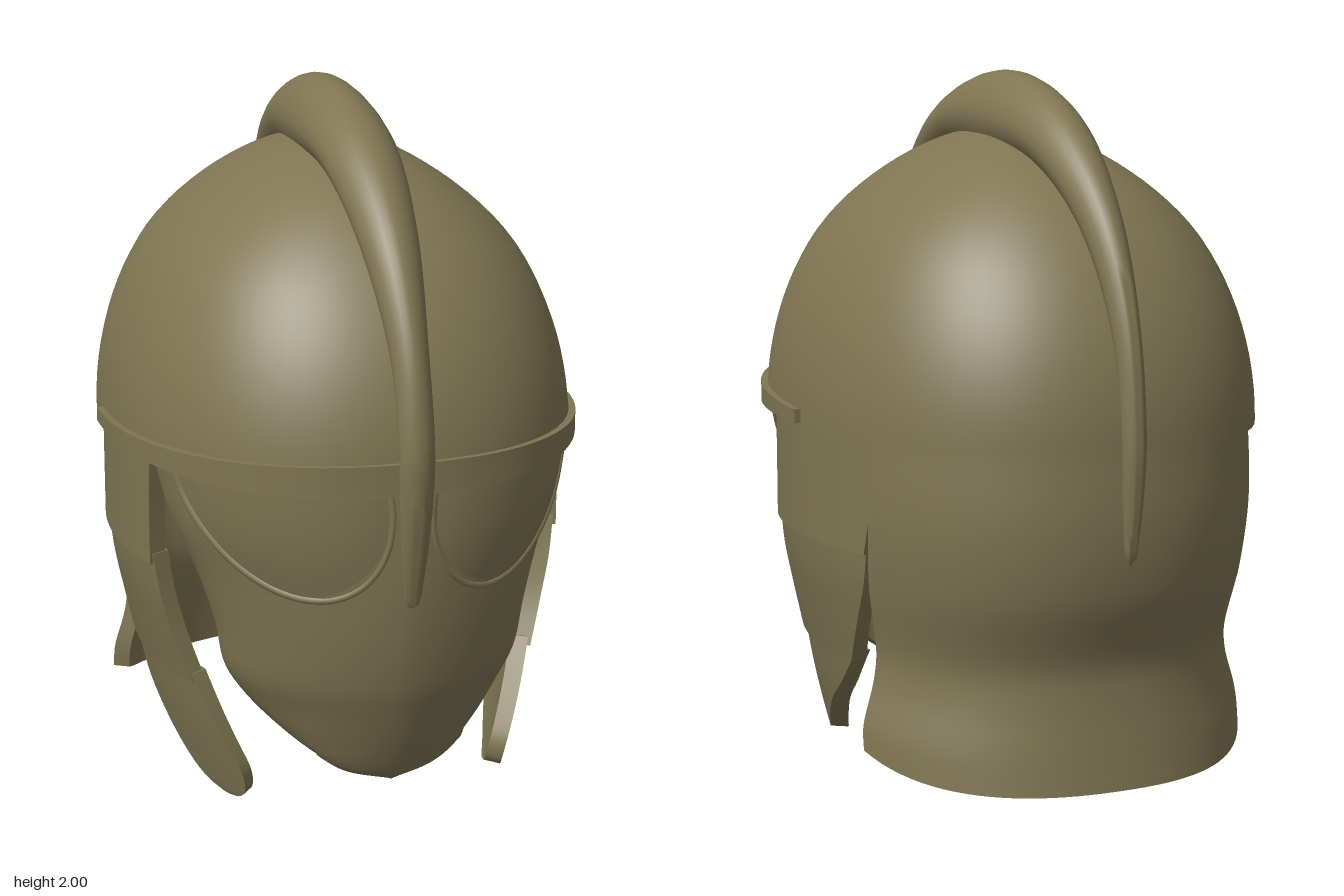
import * as THREE from 'three';
import { toCreasedNormals } from 'three/addons/utils/BufferGeometryUtils.js';

const { lerp } = THREE.MathUtils;

// Smooth lookup in rows [y, a, b, c...] listed from high y to low y
function profile(rows) {
  const slope = (i, k) => {
    const a = rows[Math.max(i - 1, 0)], b = rows[Math.min(i + 1, rows.length - 1)];
    return (b[k] - a[k]) / (b[0] - a[0]);
  };
  return (y) => {
    let i = 0;
    while (i < rows.length - 2 && y < rows[i + 1][0]) i++;
    const p = rows[i], q = rows[i + 1], h = q[0] - p[0];
    const t = THREE.MathUtils.clamp((y - p[0]) / h, 0, 1), t2 = t * t, t3 = t2 * t;
    return p.slice(1).map((v, j) => (2 * t3 - 3 * t2 + 1) * v + (3 * t2 - 2 * t3) * q[j + 1]
      + h * ((t3 - 2 * t2 + t) * slope(i, j + 1) + (t3 - t2) * slope(i + 1, j + 1)));
  };
}

function indexed(points, index, crease) {
  const g = new THREE.BufferGeometry().setFromPoints(points);
  g.setIndex(index);
  return toCreasedNormals(g, crease);
}

// Closed curved plate: f(u, v) is the outer face, thickened towards the vertical axis
function plate(f, nu, nv, thick) {
  const outer = [], inner = [];
  for (let j = 0; j <= nv; j++) for (let i = 0; i <= nu; i++) {
    const p = f(i / nu, j / nv);
    const r = Math.hypot(p.x, p.z) || 1;
    outer.push(p);
    inner.push(new THREE.Vector3(p.x * (1 - thick / r), p.y, p.z * (1 - thick / r)));
  }
  const n = outer.length, id = (i, j) => j * (nu + 1) + i, index = [];
  const m = f(0.5, 0.5);
  const normal = f(0.51, 0.5).sub(m).cross(f(0.5, 0.51).sub(m));
  const flip = normal.x * m.x + normal.z * m.z < 0;
  const quad = (a, b, c, d) => (flip ? index.push(a, c, b, a, d, c) : index.push(a, b, c, a, c, d));
  for (let j = 0; j < nv; j++) for (let i = 0; i < nu; i++) {
    const a = id(i, j), b = id(i + 1, j), c = id(i + 1, j + 1), d = id(i, j + 1);
    quad(a, b, c, d);
    quad(n + a, n + d, n + c, n + b);
  }
  for (let i = 0; i < nu; i++) {
    quad(id(i + 1, 0), id(i, 0), n + id(i, 0), n + id(i + 1, 0));
    quad(id(i, nv), id(i + 1, nv), n + id(i + 1, nv), n + id(i, nv));
  }
  for (let j = 0; j < nv; j++) {
    quad(id(0, j), id(0, j + 1), n + id(0, j + 1), n + id(0, j));
    quad(id(nu, j + 1), id(nu, j), n + id(nu, j), n + id(nu, j + 1));
  }
  return indexed([...outer, ...inner], index, 0.7);
}

// Plan outline of the bowl: a slightly squared oval
function oval(angle, a, b) {
  const s = Math.sin(angle), c = Math.cos(angle), e = 2.25;
  const k = (Math.abs(s) ** e + Math.abs(c) ** e) ** (-1 / e);
  return [a * s * k, b * c * k];
}

// Face mask rows: y, edge x, edge z, centre z
const maskRow = profile([
  [1.02, 0.6, 0.3, 0.8], [0.85, 0.56, 0.345, 0.8], [0.7, 0.5, 0.385, 0.795], [0.55, 0.455, 0.415, 0.78],
  [0.42, 0.43, 0.42, 0.755], [0.33, 0.375, 0.44, 0.725], [0.25, 0.295, 0.51, 0.695],
  [0.18, 0.205, 0.575, 0.665], [0.13, 0.12, 0.6, 0.64], [0.1, 0, 0.61, 0.62],
]);
function maskPoint(x, y, out = 0) {
  const [xe, ze, zc] = maskRow(y);
  const k = xe > 1e-4 ? Math.min(1, Math.abs(x) / xe) : 0;
  const z = ze + (zc - ze) * (1 - k ** 1.7) ** 0.55, r = 1 + out / Math.hypot(x, z);
  return new THREE.Vector3(x * r, y, z * r);
}

export function createModel() {
  const group = new THREE.Group();
  const bronze = new THREE.MeshStandardMaterial({ color: 0x7f7552, side: THREE.DoubleSide });
  bronze.name = 'bronze';
  const add = (name, geometry) => {
    const mesh = new THREE.Mesh(geometry, bronze);
    mesh.name = name;
    group.add(mesh);
  };

  // Hollow bowl, slightly narrowed across near the crown
  const section = [];
  for (let i = 0; i <= 28; i++) {
    const t = (1 - i / 28) * Math.PI / 2;
    section.push(new THREE.Vector2(0.95 * Math.cos(t), 1.01 + 0.79 * Math.sin(t)));
  }
  for (let i = 0; i <= 28; i++) {
    const t = i / 28 * Math.PI / 2;
    section.push(new THREE.Vector2(Math.cos(t), 1.01 + 0.83 * Math.sin(t)));
  }
  const bowl = new THREE.LatheGeometry(section, 72), pos = bowl.attributes.position;
  for (let i = 0; i < pos.count; i++) {
    const x = pos.getX(i), y = pos.getY(i), z = pos.getZ(i), r = Math.hypot(x, z);
    const narrow = 1 - 0.2 * Math.max(0, (y - 1.5) / 0.34) ** 2;
    const [ox, oz] = oval(Math.atan2(x, z), 0.665 * r * narrow, 0.822 * r);
    pos.setXYZ(i, ox, y, oz);
  }
  add('bowl', toCreasedNormals(bowl, 0.7));

  // Brow band, tapering towards the temples
  add('browBand', plate((u, v) => {
    const [x, z] = oval(lerp(-1.64, 1.64, u), 0.683, 0.832);
    return new THREE.Vector3(x, lerp(1.06 + 0.05 * Math.max(z, 0), 1.02, v), z);
  }, 64, 2, 0.04));

  // Crest stations: outer z, outer y, inner z, inner y, half width
  const stations = [
    [0.805, 0.67, 0.795, 0.67, 0.02], [0.835, 0.82, 0.8, 0.82, 0.036], [0.862, 1, 0.8, 1, 0.048],
    [0.865, 1.15, 0.8, 1.13, 0.05], [0.8, 1.42, 0.72, 1.36, 0.054], [0.62, 1.71, 0.53, 1.6, 0.083],
    [0.33, 1.92, 0.27, 1.75, 0.112], [-0.04, 2, -0.02, 1.75, 0.12], [-0.4, 1.9, -0.33, 1.73, 0.095],
    [-0.68, 1.65, -0.58, 1.57, 0.06], [-0.82, 1.36, -0.74, 1.32, 0.04], [-0.865, 1.05, -0.8, 1.05, 0.035],
    [-0.855, 0.88, -0.8, 0.88, 0.03], [-0.825, 0.7, -0.805, 0.7, 0.016],
  ];
  const outerLine = new THREE.CatmullRomCurve3(stations.map((s) => new THREE.Vector3(s[4], s[1], s[0])));
  const innerLine = new THREE.CatmullRomCurve3(stations.map((s) => new THREE.Vector3(s[4], s[3], s[2])));
  const ringCount = 100, sides = 24, crest = [], crestIndex = [];
  for (let j = 0; j <= ringCount; j++) {
    const o = outerLine.getPoint(j / ringCount), n = innerLine.getPoint(j / ringCount);
    const mid = o.clone().add(n).multiplyScalar(0.5), k = j % ringCount ? 1 : 0;
    for (let i = 0; i < sides; i++) {
      const a = i / sides * Math.PI * 2, c = k * Math.cos(a);
      const w = k * o.x * Math.sin(a) * (1 - 0.18 * Math.max(0, c));
      crest.push(new THREE.Vector3(w, mid.y + (o.y - mid.y) * c, mid.z + (o.z - mid.z) * c));
      if (j === ringCount) continue;
      const p = j * sides + i, q = j * sides + (i + 1) % sides;
      crestIndex.push(p, q, p + sides, q, q + sides, p + sides);
    }
  }
  add('crest', indexed(crest, crestIndex, 1));

  // Face mask with a raised nose panel
  add('faceMask', plate((u, v) => {
    const y = 1.02 - 0.92 * Math.sin(v * Math.PI / 2);
    return maskPoint(maskRow(y)[0] * Math.sin(lerp(-1, 1, u) * Math.PI / 2), y);
  }, 48, 48, 0.04));
  const panelRow = profile([[1.02, 0.06], [0.85, 0.08], [0.75, 0.16], [0.7, 0.25],
    [0.64, 0.235], [0.45, 0.225], [0.2, 0.21], [0.1, 0.2]]);
  add('nosePanel', plate((u, v) => {
    const y = 1.02 - 0.92 * Math.sin(v * Math.PI / 2);
    const w = Math.min(panelRow(y)[0], maskRow(y)[0] * 0.97);
    return maskPoint(w * lerp(-1, 1, u), y, 0.012);
  }, 24, 60, 0.03));

  // Cheek guards: three overlapping plates per side, each with rows y, front z, rear z, outer x
  const cheekPlates = {
    upper: [[1.012, 0.3, -0.4, 0.655], [0.85, 0.295, -0.385, 0.655], [0.69, 0.295, -0.355, 0.655]],
    middle: [[0.72, 0.295, -0.355, 0.646], [0.6, 0.31, -0.325, 0.634], [0.48, 0.33, -0.26, 0.61], [0.345, 0.37, -0.18, 0.58]],
    lower: [[0.37, 0.36, -0.19, 0.573], [0.25, 0.42, -0.06, 0.552], [0.17, 0.46, 0.06, 0.535],
      [0.1, 0.49, 0.15, 0.518], [0.04, 0.475, 0.235, 0.502], [0.012, 0.44, 0.3, 0.494], [0, 0.39, 0.36, 0.488]],
  };
  for (const [side, s] of [['left', 1], ['right', -1]]) {
    for (const [name, rows] of Object.entries(cheekPlates)) {
      const row = profile(rows), top = rows[0][0], low = rows[rows.length - 1][0];
      add(`${side}CheekGuard_${name}`, plate((u, v) => {
        const y = lerp(top, low, Math.sin(v * Math.PI / 2)), [zf, zr, x] = row(y);
        const z = lerp(zf, zr, u);
        return new THREE.Vector3(s * (x - 0.5 * z * z), y, z);
      }, 16, 20, 0.055));
    }

    // Bulging eye cover and its rim
    const eye = (a, r, out) => {
      const x = 0.315 + r * (0.245 * Math.cos(a) - 0.06 * Math.sin(a));
      return maskPoint(s * x, 1.02 - 0.31 * r * Math.sin(a), out);
    };
    add(`${side}EyeCover`, plate((u, v) => eye(u * Math.PI, v, 0.01 + 0.025 * (1 - v * v)), 32, 12, 0.04));
    const rim = [];
    for (let i = 0; i <= 16; i++) rim.push(eye(i / 16 * Math.PI, 1.03, 0.004));
    add(`${side}EyeRim`, new THREE.TubeGeometry(new THREE.CatmullRomCurve3(rim), 48, 0.012, 8));
  }

  // Flared neck guard: rows y, half width of the oval, half depth of the oval, front edge z
  const neckRow = profile([
    [1.03, 0.645, 0.8, -0.4], [0.8, 0.65, 0.81, -0.39], [0.6, 0.63, 0.785, -0.36], [0.4, 0.6, 0.715, -0.335],
    [0.3, 0.605, 0.715, -0.33], [0.15, 0.64, 0.735, -0.335], [0.05, 0.645, 0.75, -0.345],
  ]);
  add('neckGuard', plate((u, v) => {
    const y = lerp(1.03, 0.05, v), [a, b, ze] = neckRow(y), q = -ze / b;
    const edge = Math.atan2((1 - q ** 2.25) ** (1 / 2.25), q), k = lerp(-1, 1, u);
    const [x, z] = oval(k * edge, a, b);
    return new THREE.Vector3(x, y + 0.08 * v ** 4 * k ** 4, -z);
  }, 48, 36, 0.05));

  return group;
}
